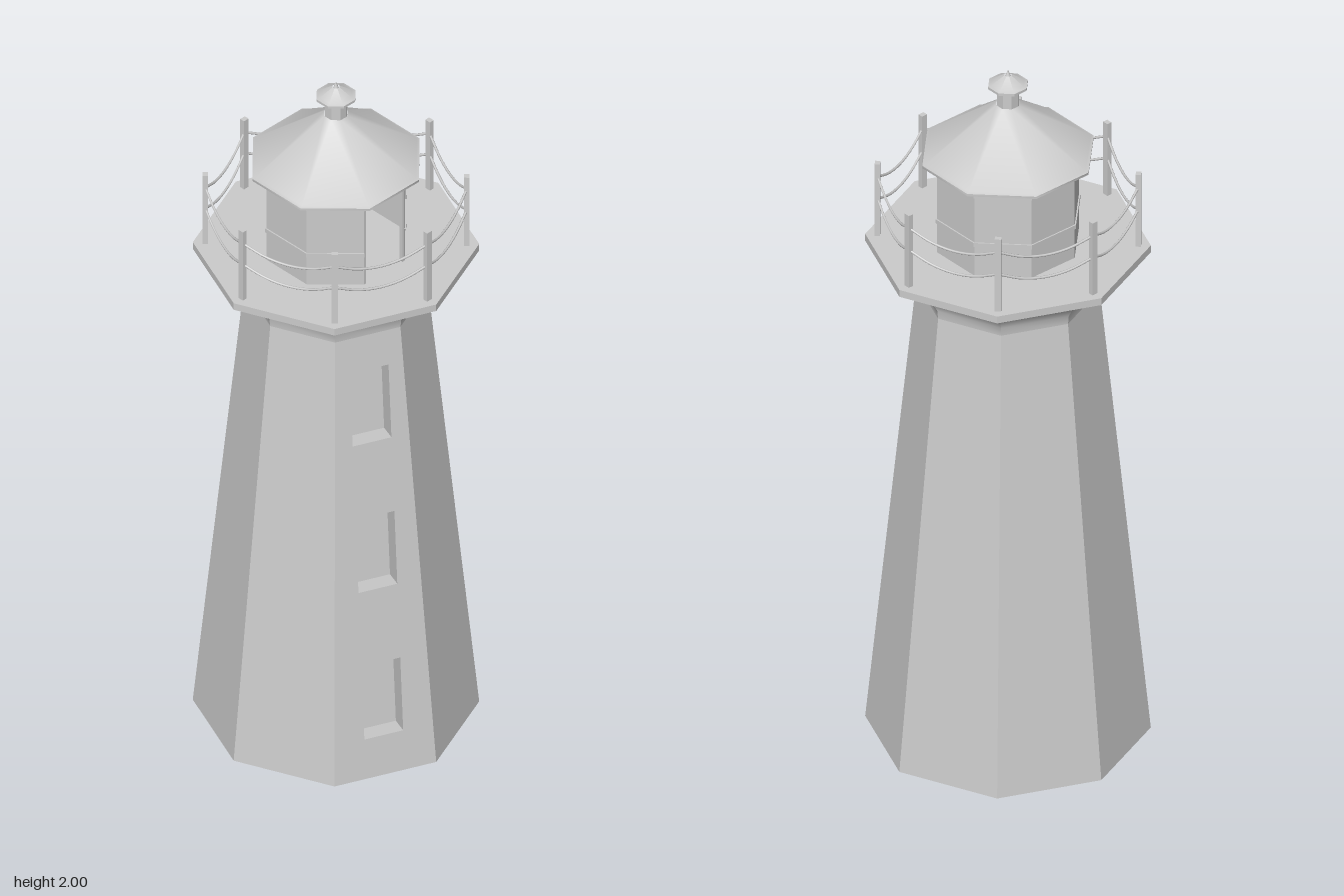
import * as THREE from 'three';
import { toCreasedNormals } from 'three/addons/utils/BufferGeometryUtils.js';

const SIDES = 8;
const STEP = (Math.PI * 2) / SIDES;
const material = new THREE.MeshStandardMaterial({ color: 0xcccccc });
const thinMaterial = new THREE.MeshStandardMaterial({ color: 0xcccccc, side: THREE.DoubleSide });

function addMesh(parent, name, geometry, mat = material) {
  const mesh = new THREE.Mesh(geometry, mat);
  mesh.name = name;
  parent.add(mesh);
  return mesh;
}

// Octagonal body from a [radius, height] profile; faces can leave one side open
function octagon(profile, start = 0, faces = SIDES, crease = 0.6) {
  const points = profile.map(([r, y]) => new THREE.Vector2(r, y));
  return toCreasedNormals(new THREE.LatheGeometry(points, faces, start, faces * STEP), crease);
}

function polygon(points, PathType = THREE.Shape) {
  return new PathType(points.map(([x, y]) => new THREE.Vector2(x, y)));
}

// Box without its front face, used as a window recess
function recess(w, h, d) {
  const box = new THREE.BoxGeometry(w, h, d);
  const index = Array.from(box.index.array);
  box.setIndex([...index.slice(0, 24), ...index.slice(30)]);
  return box;
}

function addTower(group) {
  const r0 = 0.37, r1 = 0.238, top = 1.335, wall = 0.015;

  // Seven plain tapering walls, hollow and open underneath
  addMesh(group, 'towerWalls', octagon([
    [r1 - wall, top], [r0 - wall, 0], [r0, 0], [r1, top],
  ], 0, SIDES - 1, 0.5));

  // Eighth wall, tilted inwards, with three window openings
  const apothem = Math.cos(STEP / 2);
  const half = Math.sin(STEP / 2);
  const lean = Math.atan2((r0 - r1) * apothem, top);
  const slant = top / Math.cos(lean);
  const panel = polygon([[-r0 * half, 0], [r0 * half, 0], [r1 * half, slant], [-r1 * half, slant]]);
  const w = 0.108, h = 0.222, depth = 0.05;
  const centres = [0.23, 0.675, 1.12].map((y) => y / Math.cos(lean));
  for (const y of centres) {
    panel.holes.push(polygon([
      [-w / 2, y - h / 2], [-w / 2, y + h / 2], [w / 2, y + h / 2], [w / 2, y - h / 2],
    ], THREE.Path));
  }
  const windowWall = new THREE.Group();
  windowWall.name = 'windowWall';
  windowWall.rotation.set(-lean, -STEP / 2, 0, 'YXZ');
  windowWall.position.set(-Math.sin(STEP / 2) * r0 * apothem, 0, Math.cos(STEP / 2) * r0 * apothem);
  group.add(windowWall);
  const sheet = new THREE.ExtrudeGeometry(panel, { depth: wall, bevelEnabled: false });
  addMesh(windowWall, 'windowPanel', sheet.translate(0, 0, -wall));
  for (const y of centres) {
    addMesh(windowWall, 'windowRecess', recess(w, h, depth), thinMaterial)
      .position.set(0, y, -depth / 2 - 0.001);
  }

  // Flare that carries the gallery
  addMesh(group, 'flare', octagon([
    [r1, top], [0.241, 1.36], [0.255, 1.385], [0.28, 1.41], [0.32, 1.435], [0.362, 1.458],
  ]));
  addMesh(group, 'galleryDeck', octagon([[0, 1.457], [0.37, 1.457], [0.37, 1.478], [0, 1.478]]));
}

function addRailing(group) {
  const radius = 0.338;
  const corner = (i, y) => new THREE.Vector3(Math.sin(i * STEP) * radius, y, Math.cos(i * STEP) * radius);
  for (let i = 0; i < SIDES; i++) {
    const post = addMesh(group, 'railingPost', new THREE.BoxGeometry(0.017, 0.222, 0.014));
    post.position.copy(corner(i, 1.587));
    post.rotation.y = i * STEP;

    // Two sagging chains between neighbouring posts
    for (const y of [1.655, 1.588]) {
      const a = corner(i, y), b = corner(i + 1, y);
      const points = [0, 0.25, 0.5, 0.75, 1].map((t) => {
        const p = a.clone().lerp(b, t);
        p.y -= 0.034 * 4 * t * (1 - t);
        return p;
      });
      addMesh(group, 'railingChain',
        new THREE.TubeGeometry(new THREE.CatmullRomCurve3(points), 14, 0.0035, 6));
    }
  }
}

function addLantern(group) {
  const start = STEP / 2;
  const r = 0.193, floor = 1.478, ceiling = 1.745, wall = 0.012;
  const apothem = r * Math.cos(STEP / 2);
  const half = r * Math.sin(STEP / 2);

  // Seven closed walls and a doorway at the front
  addMesh(group, 'lanternWalls', octagon([
    [r - wall, ceiling], [r - wall, floor], [r, floor], [r, ceiling],
  ], start, SIDES - 1, 0.5));
  const frame = polygon([
    [-half, floor], [-half + 0.008, floor], [-half + 0.008, 1.715], [half - 0.008, 1.715],
    [half - 0.008, floor], [half, floor], [half, ceiling], [-half, ceiling],
  ]);
  const doorway = new THREE.ExtrudeGeometry(frame, { depth: wall, bevelEnabled: false });
  addMesh(group, 'doorway', doorway.translate(0, 0, apothem - wall));

  // Sill and top trims
  addMesh(group, 'sillTrim', octagon([
    [r, 1.568], [r + 0.004, 1.568], [r + 0.004, 1.58], [r, 1.58],
  ], start, SIDES - 1));
  addMesh(group, 'topTrim', octagon([
    [r, 1.718], [r + 0.005, 1.718], [r + 0.005, 1.73], [r, 1.73],
  ], start));

  // Roof, smooth around its sides
  addMesh(group, 'roof', octagon([
    [0.233, 1.744], [0.233, 1.751], [0.225, 1.754], [0.032, 1.897],
  ], start, SIDES, 0.8));
  addMesh(group, 'roofUnderside', octagon([[0, 1.744], [0.233, 1.744]], start));

  // Vent and finial
  addMesh(group, 'ventNeck', octagon([[0.03, 1.88], [0.03, 1.94]], start));
  addMesh(group, 'ventCap', octagon([
    [0, 1.937], [0.032, 1.937], [0.054, 1.95], [0.054, 1.957], [0.045, 1.96], [0.01, 1.984],
  ], start));
  addMesh(group, 'finial', new THREE.ConeGeometry(0.009, 0.025, 12)).position.y = 1.9875;
}

export function createModel() {
  const group = new THREE.Group();
  group.name = 'lighthouse';
  addTower(group);
  addRailing(group);
  addLantern(group);
  return group;
}
